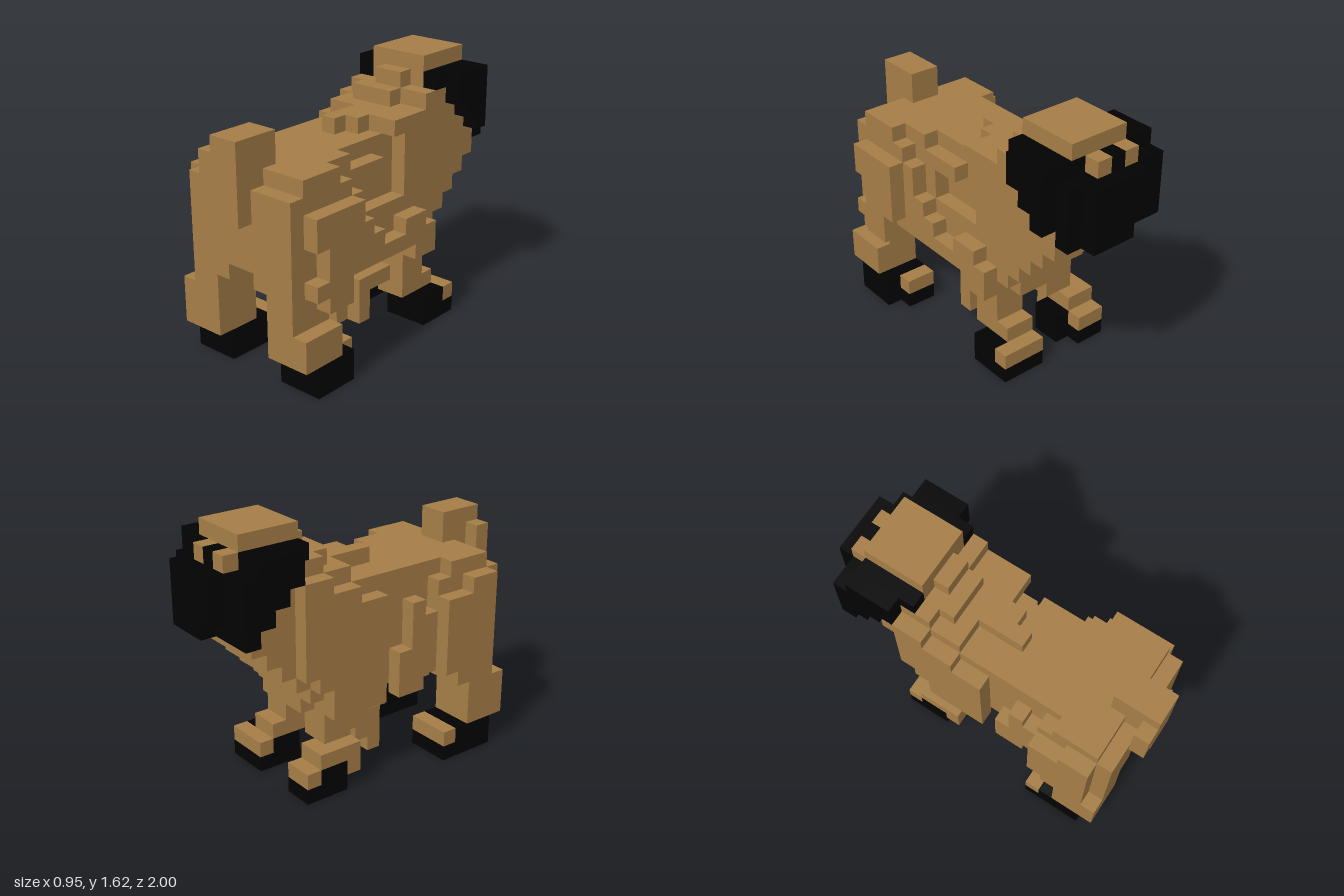
import * as THREE from 'three';

const V = 2 / 21; // edge of one cube
const tan = new THREE.MeshStandardMaterial({ color: 0xa57d47 });
tan.name = 'tanFur';
const black = new THREE.MeshStandardMaterial({ color: 0x020202 });
black.name = 'blackFur';

// Each block is [x0, x1, y0, y1, z0, z1] counted in cubes from the model's corner.
function addPart(parent, name, material, blocks) {
  const part = new THREE.Group();
  part.name = name;
  blocks.forEach(([x0, x1, y0, y1, z0, z1], n) => {
    const mesh = new THREE.Mesh(new THREE.BoxGeometry((x1 - x0) * V, (y1 - y0) * V, (z1 - z0) * V), material);
    mesh.position.set(((x0 + x1) / 2 - 5) * V, ((y0 + y1) / 2) * V, ((z0 + z1) / 2 - 10.5) * V);
    mesh.name = `${name}Block${n + 1}`;
    part.add(mesh);
  });
  parent.add(part);
}

const mirror = ([x0, x1, ...rest]) => [10 - x1, 10 - x0, ...rest];
const both = (blocks) => [...blocks, ...blocks.map(mirror)];

export function createModel() {
  const dog = new THREE.Group();
  dog.name = 'dog';

  // Trunk, from hips to shoulders, with a hollow in the left waist
  addPart(dog, 'torso', tan, [
    [2, 7, 6, 13, 7, 16],
    [7, 8, 6, 9, 7, 16],
    [7, 8, 9, 11, 13, 16],
    [7, 8, 11, 12, 11, 16],
    [7, 8, 12, 13, 14, 16],
    [3, 7, 5, 6, 8, 15],
    [1, 9, 12, 13, 16, 19],
    [1, 9, 7, 12, 15, 20],
    [4, 6, 4, 5, 9, 13],
  ]);
  addPart(dog, 'shoulders', tan, [
    [1, 8, 7, 13, 7, 9],
    [1, 2, 7, 13, 6, 7],
    [1, 2, 8, 13, 5, 6],
    [1, 2, 7, 12, 9, 11],
    [1, 2, 5, 7, 9, 11],
    [8, 9, 7, 8, 8, 10],
  ]);
  // Flanks drop in steps from the hips to the waist
  addPart(dog, 'flanks', tan, [
    [1, 2, 5, 8, 12, 13],
    [1, 2, 5, 11, 13, 14],
    [1, 2, 6, 10, 14, 15],
    [8, 9, 6, 7, 9, 15],
    [8, 9, 7, 8, 12, 13],
    [8, 9, 7, 9, 13, 14],
    [8, 9, 7, 11, 14, 15],
  ]);

  // Chest steps forward one cube at a time as it rises to the jaw
  addPart(dog, 'chest', tan, [
    [3, 7, 5, 6, 6, 8],
    [2, 8, 6, 7, 6, 8],
    [2, 8, 7, 8, 5, 7],
    [2, 8, 8, 9, 4, 7],
    [2, 8, 9, 10, 3, 7],
    [2, 8, 10, 12, 2, 7],
    [2, 8, 12, 13, 3, 7],
  ]);
  addPart(dog, 'neck', tan, [
    [2, 8, 13, 14, 4, 9],
    [1, 2, 13, 14, 5, 7],
    [4, 5, 13, 14, 9, 12],
    [5, 6, 13, 14, 9, 11],
    [6, 8, 13, 14, 9, 10],
    [2, 8, 14, 15, 6, 7],
    [3, 6, 14, 15, 7, 8],
    [4, 6, 15, 16, 6, 7],
  ]);

  // Head: dark mask and drooping ears around a tan crown
  addPart(dog, 'mask', black, [
    [3, 7, 12, 15, 0, 1],
    [4, 7, 11, 12, 0, 1],
    [3, 8, 11, 12, 1, 2],
    [2, 8, 12, 15, 1, 2],
    [2, 8, 12, 15, 2, 3],
    [2, 8, 13, 15, 3, 4],
    [3, 7, 15, 16, 2, 5],
    [4, 5, 15, 16, 1, 2],
  ]);
  addPart(dog, 'ears', black, [
    ...both([
      [1, 2, 12, 16, 2, 3],
      [1, 2, 13, 16, 3, 4],
      [1, 2, 14, 16, 4, 5],
      [2, 3, 14, 16, 4, 5],
      [2, 3, 15, 16, 2, 6],
    ]),
    [1, 2, 12, 15, 1, 2],
    [1, 3, 11, 12, 1, 2],
  ]);
  addPart(dog, 'crown', tan, [
    [3, 7, 16, 17, 2, 6],
    [3, 7, 14, 16, 5, 6],
    [2, 3, 14, 15, 5, 6],
    [7, 8, 14, 15, 5, 6],
  ]);
  addPart(dog, 'brows', tan, [
    [3, 4, 15, 16, 1, 2],
    [5, 6, 15, 16, 1, 2],
  ]);

  // Tail curled up over the rump
  addPart(dog, 'tail', tan, [
    [4, 6, 12, 15, 18, 21],
    [4, 6, 10, 12, 20, 21],
    [3, 4, 11, 14, 20, 21],
  ]);

  // Hind legs
  addPart(dog, 'hindLegs', tan, both([
    [1, 3, 2, 7, 17, 20],
    [1, 3, 5, 7, 16, 17],
    [1, 3, 6, 7, 15, 16],
    [3, 4, 6, 7, 16, 20],
  ]));
  addPart(dog, 'thighs', tan, [
    [0, 1, 2, 5, 17, 20],
    [0, 1, 5, 11, 16, 17],
    [0, 1, 5, 12, 17, 19],
    [0, 1, 6, 11, 15, 16],
    [9, 10, 2, 4, 17, 20],
    [9, 10, 5, 11, 16, 18],
    [9, 10, 7, 11, 15, 16],
    [9, 10, 6, 7, 18, 19],
    [9, 10, 9, 11, 18, 19],
  ]);
  addPart(dog, 'hindPaws', black, [
    ...both([[0, 3, 0, 2, 16, 19]]),
    [0, 3, 0, 1, 15, 16],
    [7, 9, 0, 1, 15, 16],
  ]);
  addPart(dog, 'hindToes', tan, [
    [0, 3, 1, 2, 15, 16],
    [7, 9, 1, 2, 15, 16],
  ]);

  // Front legs
  addPart(dog, 'frontLegs', tan, [
    ...both([
      [2, 4, 3, 6, 7, 9],
      [1, 3, 5, 7, 7, 9],
    ]),
    [1, 3, 2, 3, 6, 9],
    [6, 8, 2, 3, 6, 9],
    [1, 3, 1, 3, 8, 9],
  ]);
  addPart(dog, 'frontPaws', black, [
    ...both([[1, 4, 0, 2, 6, 8]]),
    [1, 3, 0, 1, 5, 6],
    [6, 9, 0, 1, 5, 6],
  ]);
  addPart(dog, 'frontToes', tan, [
    [1, 3, 1, 2, 5, 6],
    [6, 9, 1, 2, 5, 6],
  ]);

  // Shaggy fur hanging under the belly
  addPart(dog, 'bellyFur', tan, [
    [4, 7, 3, 4, 9, 12],
    [4, 6, 2, 3, 10, 13],
    [6, 7, 1, 3, 11, 12],
    [4, 6, 1, 2, 11, 13],
    [4, 5, 0, 1, 12, 13],
  ]);

  return dog;
}
